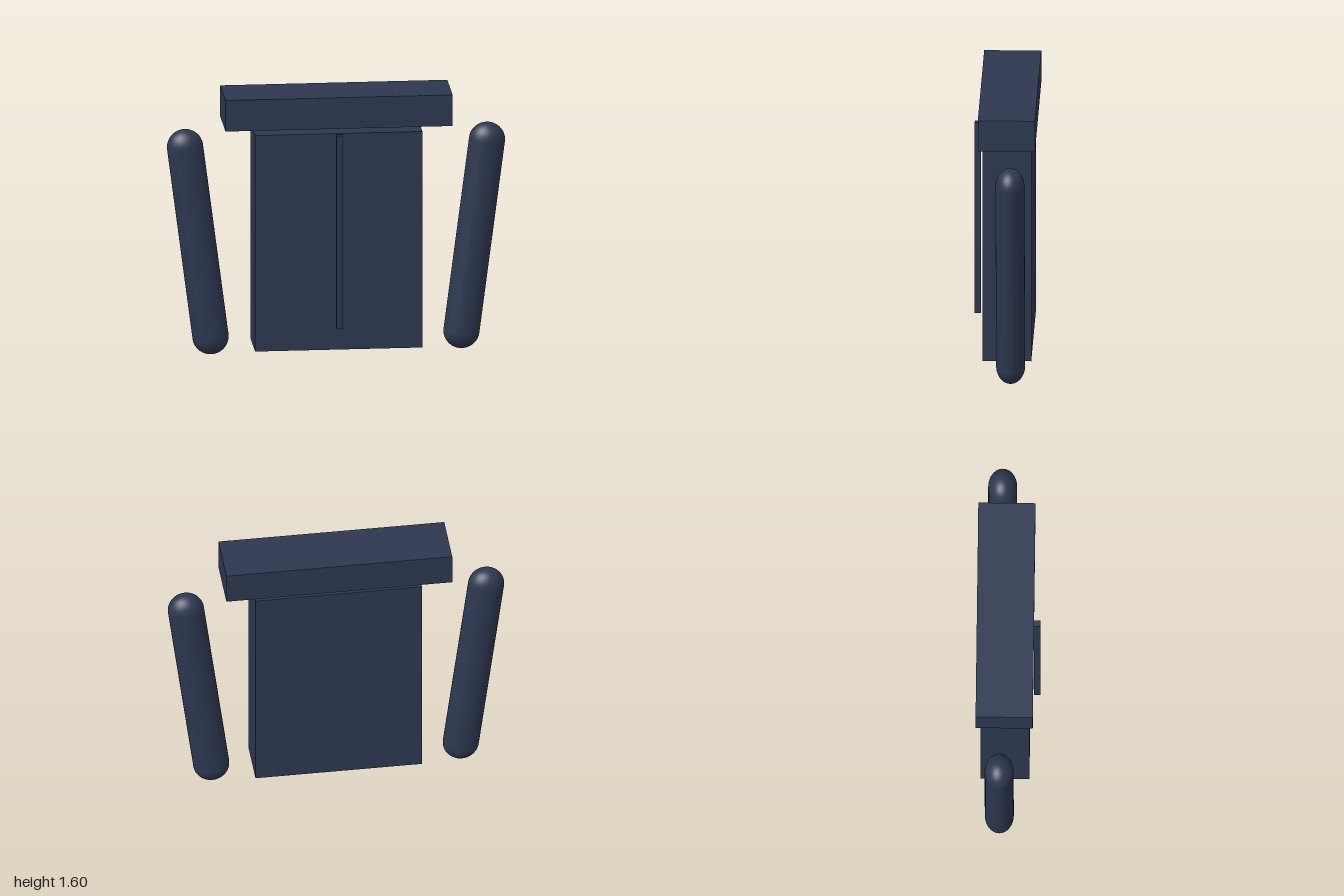
import * as THREE from 'three';

export function createModel() {
  const model = new THREE.Group();
  model.name = 'jacket';
  const cloth = new THREE.MeshStandardMaterial({ color: 0x2d3750 });

  const add = (name, geometry, x, y, z) => {
    const mesh = new THREE.Mesh(geometry, cloth);
    mesh.name = name;
    mesh.position.set(x, y, z);
    model.add(mesh);
    return mesh;
  };

  // Torso, shoulder yoke and front closure
  add('torso', new THREE.BoxGeometry(0.99, 1.32, 0.289), 0, 0.715, -0.016);
  add('shoulderYoke', new THREE.BoxGeometry(1.344, 0.19, 0.337), 0, 1.505, -0.0185);
  add('frontZip', new THREE.BoxGeometry(0.038, 1.178, 0.037), 0, 0.786, 0.1685);

  // Sleeves: capsules flattened front to back, leaning outward at the top
  for (const side of [1, -1]) {
    const sleeve = add(
      side > 0 ? 'leftSleeve' : 'rightSleeve',
      new THREE.CapsuleGeometry(0.107, 1.171, 12, 32),
      side * 0.818, 0.6875, -0.046
    );
    sleeve.scale.z = 0.8;
    sleeve.rotation.z = -side * 0.129;
  }

  return model;
}
